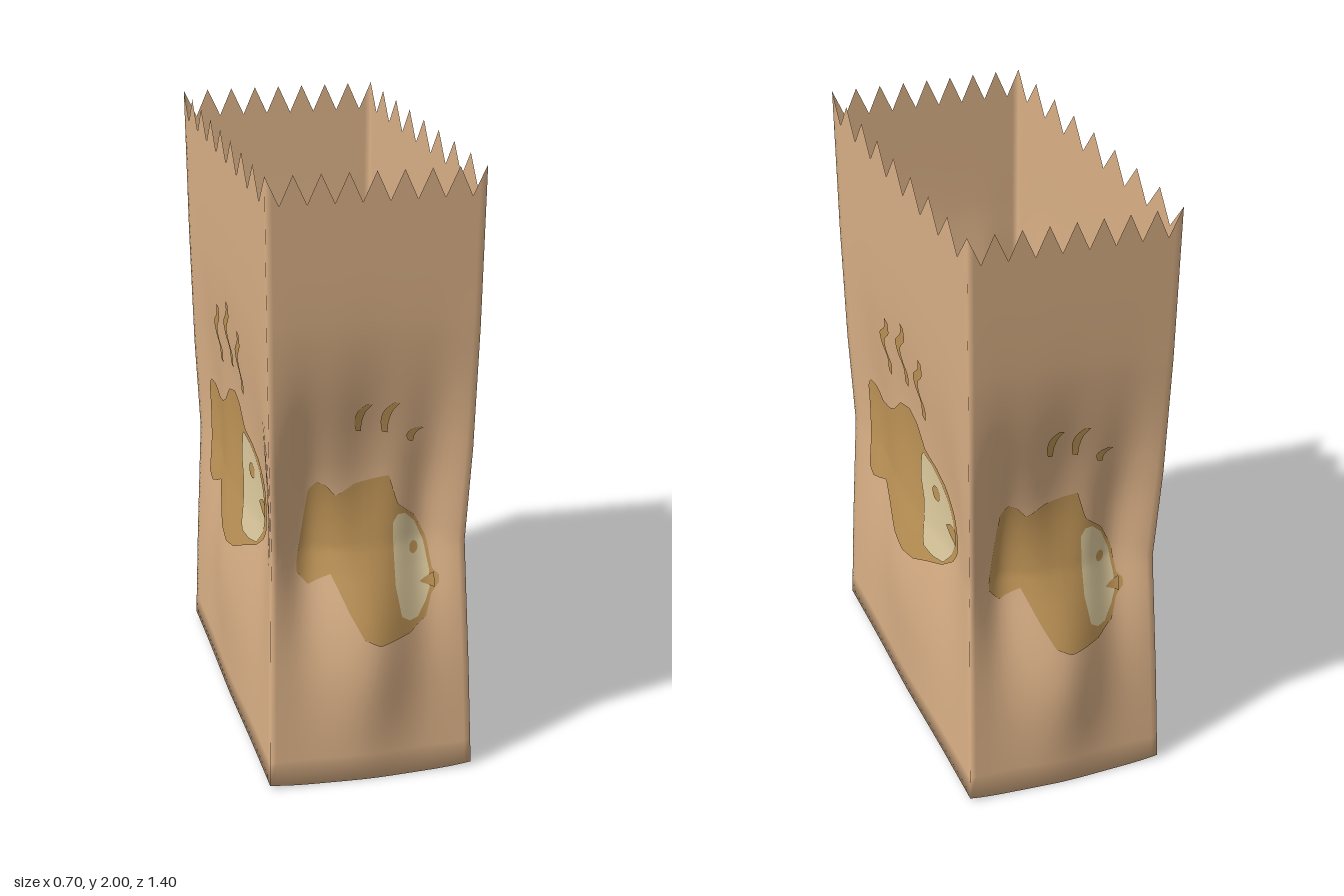
import * as THREE from 'three';

const paper = new THREE.MeshStandardMaterial({ color: 0xdab086, side: THREE.DoubleSide });
paper.name = 'kraft paper';
const gold = new THREE.MeshStandardMaterial({ color: 0xc09557 });
gold.name = 'golden print';
const cream = new THREE.MeshStandardMaterial({ color: 0xdfcc9f });
cream.name = 'cream print';

// Piecewise linear lookup through [key, value] pairs
function lookup(pts, k) {
  if (k <= pts[0][0]) return pts[0][1];
  for (let i = 1; i < pts.length; i++) {
    const [a, b] = [pts[i - 1], pts[i]];
    if (k <= b[0]) return a[1] + (b[1] - a[1]) * (k - a[0]) / (b[0] - a[0]);
  }
  return pts[pts.length - 1][1];
}
const bell = (x, w) => Math.exp(-((x / w) ** 2));

// Half width and half depth of the bag at each height
const halfX = [[0, 0.335], [0.35, 0.326], [0.7, 0.315], [0.78, 0.312], [0.9, 0.316], [1.1, 0.323], [1.5, 0.33], [2, 0.335]];
const halfZ = [[0, 0.668], [0.35, 0.645], [0.7, 0.617], [0.78, 0.613], [0.9, 0.624], [1.1, 0.641], [1.5, 0.661], [2, 0.673]];

// Walls in order: front, left, back, right; each has its own rightward and outward axis in x, z,
// and the shift of its print across and up
const walls = [
  { name: 'front', r: [1, 0], o: [0, 1], shift: [0, 0] },
  { name: 'left', r: [0, -1], o: [1, 0], shift: [0, 0] },
  { name: 'back', r: [-1, 0], o: [0, -1], shift: [-0.012, 0.035] },
  { name: 'right', r: [0, 1], o: [-1, 0], shift: [0, 0] },
];

// Point on a wall: u runs -1..1 across it; creases and bulges push it in and out
function wallPoint(k, u, y, lift = 0) {
  const narrow = k % 2 === 0;
  const across = lookup(narrow ? halfX : halfZ, y);
  let out = lookup(narrow ? halfZ : halfX, y);
  const fade = 1 - u ** 6;
  const [bulge, dent, middle] = narrow ? [0.058, 0.064, 0.062] : [0.026, 0.036, 0.029];
  out += fade * (bulge * bell(u, 0.38) * bell(y - 0.43, 0.3)
    - dent * bell(Math.abs(u) - 0.62, 0.28) * bell(y - 0.88, 0.36)
    - middle * bell(u, 0.44) * bell(y - 1.04, 0.3));
  out += lift;
  const { r, o } = walls[k];
  const s = u * across;
  return [r[0] * s + o[0] * out, y, r[1] * s + o[1] * out];
}

// Point of the print on a wall, with s measured across from its middle
function printPoint(k, s, y, lift) {
  const [ds, dy] = walls[k].shift;
  return wallPoint(k, (s + ds) / lookup(k % 2 ? halfZ : halfX, y + dy), y + dy, lift);
}

function geometryFrom(pos, idx) {
  const g = new THREE.BufferGeometry();
  g.setAttribute('position', new THREE.Float32BufferAttribute(pos, 3));
  g.setIndex(idx);
  g.computeVertexNormals();
  return g;
}

// Bag: a continuous loop of four walls with a toothed rim and a closed base
function bagGeometry() {
  const per = 32, n = per * 4, heights = ['foot', 0.09];
  for (let y = 0.14; y < 1.88; y += 0.04) heights.push(y);
  heights.push('rim');
  const pos = [], idx = [];
  for (const h of heights) {
    for (let c = 0; c < n; c++) {
      const k = Math.floor(c / per), i = c % per, u = i / per * 2 - 1;
      const tooth = Math.abs((i % 4) - 2) / 2;
      let y = h;
      if (h === 'rim') y = 1.905 + 0.092 * tooth;
      if (h === 'foot') y = k % 2 ? 0.013 : 0.013 * u ** 4; // corners lift slightly
      pos.push(...wallPoint(k, u, y));
    }
  }
  for (let j = 0; j < heights.length - 1; j++) {
    for (let c = 0; c < n; c++) {
      const a = j * n + c, b = j * n + (c + 1) % n;
      idx.push(a, b, b + n, a, b + n, a + n);
    }
  }
  // base: an inset ring, then a fan to the middle
  const ring = pos.length / 3;
  for (let c = 0; c < n; c++) pos.push(pos[c * 3] * 0.75, 0.004, pos[c * 3 + 2] * 0.87);
  const mid = pos.length / 3;
  pos.push(0, 0.006, 0);
  for (let c = 0; c < n; c++) {
    const d = (c + 1) % n;
    idx.push(c, ring + c, ring + d, c, ring + d, d, ring + c, mid, ring + d);
  }
  return geometryFrom(pos, idx);
}

// Thin printed patch draped on a wall between two edge curves a(t) and b(t)
function patch(k, a, b, lift, cols, rows) {
  const pos = [], idx = [];
  for (let i = 0; i <= cols; i++) {
    const p = a(i / cols), q = b(i / cols);
    for (let j = 0; j <= rows; j++) {
      const f = j / rows;
      pos.push(...printPoint(k, p[0] + (q[0] - p[0]) * f, p[1] + (q[1] - p[1]) * f, lift));
      if (i < cols && j < rows) {
        const v = i * (rows + 1) + j, w = v + rows + 1;
        idx.push(v, w, w + 1, v, w + 1, v + 1);
      }
    }
  }
  return geometryFrom(pos, idx);
}

// Print artwork in wall coordinates: [across, height]
const wide = {
  top: [[-0.475, 0.98], [-0.455, 1.015], [-0.4, 1.01], [-0.34, 0.98], [-0.25, 1.0], [-0.18, 1.03], [-0.1, 1.095], [0, 1.12],
    [0.08, 1.1], [0.15, 1.045], [0.25, 1.03], [0.32, 0.995], [0.4, 0.92], [0.43, 0.87], [0.438, 0.845]],
  low: [[-0.475, 0.66], [-0.44, 0.635], [-0.38, 0.655], [-0.3, 0.69], [-0.2, 0.655], [-0.1, 0.6], [0, 0.585], [0.1, 0.605],
    [0.2, 0.65], [0.3, 0.69], [0.38, 0.745], [0.425, 0.8], [0.438, 0.835]],
  headTop: [[0.105, 0.96], [0.115, 1.01], [0.14, 1.028], [0.22, 1.025], [0.28, 1.0], [0.34, 0.955], [0.38, 0.905], [0.4, 0.86]],
  headLow: [[0.105, 0.92], [0.145, 0.85], [0.152, 0.73], [0.17, 0.695], [0.24, 0.69], [0.31, 0.705], [0.37, 0.765], [0.4, 0.82]],
  eye: [0.25, 0.932, 0.029, 0.026],
  mouthTop: [[0.325, 0.858], [0.36, 0.875], [0.42, 0.88]], mouthLow: [[0.325, 0.85], [0.36, 0.83], [0.42, 0.825]],
  steam: [[-0.2, 1.17, 0.2], [-0.02, 1.21, 0.22], [0.15, 1.17, 0.21]], stroke: 0.024,
  steamPath: [[0.035, 1], [0.03, 0.82], [-0.035, 0.55], [-0.02, 0.38], [0.025, 0.22], [0.02, 0]],
};
const slim = {
  top: [[-0.225, 0.74], [-0.205, 0.85], [-0.185, 0.98], [-0.16, 1.005], [-0.13, 0.99], [-0.1, 0.955], [-0.04, 0.99], [0.07, 1.01],
    [0.1, 0.91], [0.16, 0.86], [0.2, 0.78], [0.215, 0.68], [0.235, 0.66]],
  low: [[-0.225, 0.71], [-0.19, 0.665], [-0.12, 0.7], [-0.07, 0.58], [-0.03, 0.5], [0.02, 0.475], [0.13, 0.49], [0.19, 0.53],
    [0.21, 0.6], [0.235, 0.635]],
  headTop: [[0.083, 0.85], [0.1, 0.875], [0.125, 0.875], [0.16, 0.84], [0.19, 0.77], [0.205, 0.68]],
  headLow: [[0.083, 0.65], [0.1, 0.55], [0.13, 0.53], [0.16, 0.535], [0.19, 0.58], [0.205, 0.62]],
  eye: [0.155, 0.755, 0.015, 0.02],
  mouthTop: [[0.175, 0.645], [0.22, 0.67]], mouthLow: [[0.175, 0.64], [0.22, 0.62]],
  steam: [[-0.022, 1.17, 0.09], [0.062, 1.16, 0.1], [0.145, 1.125, 0.045]], stroke: 0.013,
  steamPath: [[0.02, 1], [-0.004, 0.75], [-0.014, 0.4], [-0.012, 0]],
};

function printOn(k) {
  const art = k % 2 ? wide : slim;
  const group = new THREE.Group();
  group.name = walls[k].name + 'FishPrint';
  const add = (name, geo, mat) => {
    const m = new THREE.Mesh(geo, mat);
    m.name = name;
    group.add(m);
  };
  const region = (low, top, lift, cols, rows) => {
    const s0 = top[0][0], s1 = top[top.length - 1][0];
    const edge = pts => t => { const s = s0 + (s1 - s0) * t; return [s, lookup(pts, s)]; };
    return patch(k, edge(low), edge(top), lift, cols, rows);
  };
  add('fishBody', region(art.low, art.top, 0.004, 70, 24), gold);
  add('fishHead', region(art.headLow, art.headTop, 0.0065, 40, 16), cream);
  add('fishMouth', region(art.mouthLow, art.mouthTop, 0.009, 10, 3), gold);
  const [ex, ey, rx, ry] = art.eye;
  const rim = sign => t => [ex - rx * Math.cos(Math.PI * t), ey + sign * ry * Math.sin(Math.PI * t)];
  add('fishEye', patch(k, rim(-1), rim(1), 0.009, 16, 4), gold);

  // curling steam strokes, drawn from top to bottom
  for (const [x, y, h] of art.steam) {
    const line = new THREE.CatmullRomCurve3(art.steamPath.map(([dx, f]) => new THREE.Vector3(x + dx, y + f * h, 0)));
    const side = sign => t => {
      const p = line.getPoint(t);
      const w = art.stroke * (0.65 + 0.35 * Math.sin(Math.PI * t));
      return [p.x + sign * w, p.y - sign * w * 0.2];
    };
    add('steam', patch(k, side(-1), side(1), 0.004, 24, 2), gold);
  }
  return group;
}

export function createModel() {
  const model = new THREE.Group();
  model.name = 'paperBag';
  const bag = new THREE.Mesh(bagGeometry(), paper);
  bag.name = 'bag';
  model.add(bag);
  for (let k = 0; k < 4; k++) model.add(printOn(k));
  return model;
}
